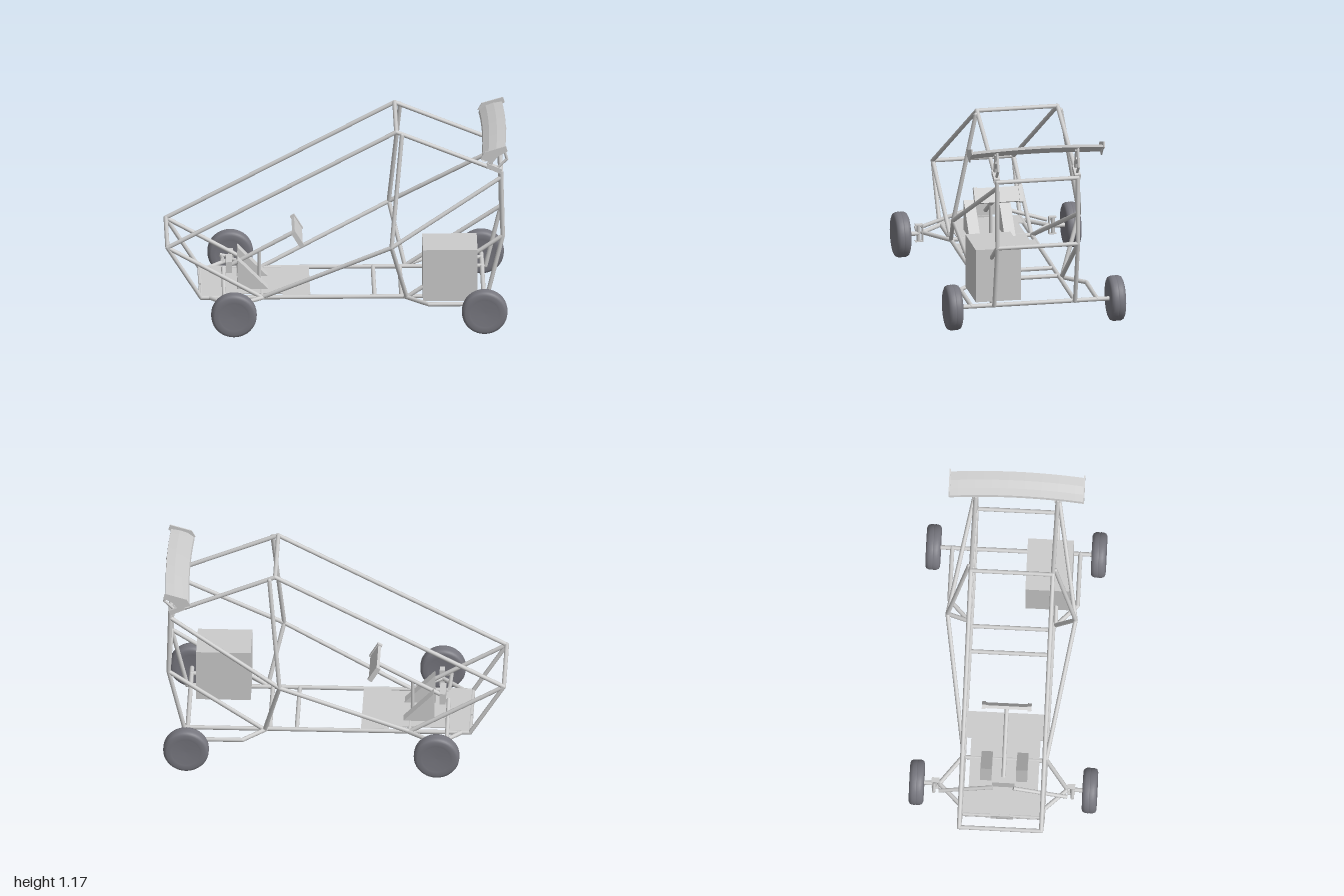
import * as THREE from 'three';

const mat = new THREE.MeshStandardMaterial({ color: 0xcccccc, side: THREE.DoubleSide });
const wheelMat = new THREE.MeshStandardMaterial({ color: 0x77777f });
const R = 0.0125, W = 0.237, Y = 0.138;

function add(group, name, geometry, x = 0, y = 0, z = 0, material = mat) {
  const mesh = new THREE.Mesh(geometry, material);
  mesh.name = name;
  mesh.position.set(x, y, z);
  group.add(mesh);
  return mesh;
}

// Round bar between two points
function bar(group, name, a, b, r = R) {
  const p = new THREE.Vector3(...a), q = new THREE.Vector3(...b);
  const d = q.clone().sub(p);
  const mesh = add(group, name, new THREE.CylinderGeometry(r, r, d.length(), 12));
  mesh.position.copy(p).add(q).multiplyScalar(0.5);
  mesh.quaternion.setFromUnitVectors(new THREE.Vector3(0, 1, 0), d.normalize());
  return mesh;
}

// Outline in the x-y plane, extruded along z about a centre
function plate(group, name, points, depth, z) {
  const shape = new THREE.Shape(points.map(p => new THREE.Vector2(...p)));
  return add(group, name, new THREE.ExtrudeGeometry(shape, { depth, bevelEnabled: false }), 0, 0, z - depth / 2);
}

function path(group, name, points, s, r = R) {
  const pts = points.map(([x, y, z]) => [x, y, z * s]);
  for (let i = 1; i < pts.length; i++) bar(group, name, pts[i - 1], pts[i], r);
  pts.forEach(p => add(group, name + 'Joint', new THREE.SphereGeometry(r, 12, 8), ...p));
}

function buildFrame() {
  const g = new THREE.Group();
  g.name = 'tubeFrame';
  const nose = [-0.975, 0.45, W], roof = [0.345, 1.155, W], rearTop = [0.95, 0.905, W];
  const rearMid = [0.96, 0.51, W], rearLow = [0.87, Y, W], frontLow = [-0.78, Y, W];
  const hip = [0.315, 0.49, 0.37], hipLow = [0.405, Y, 0.25], floorNode = [-0.43, Y, W];
  for (const s of [1, -1]) {
    path(g, 'outerLoop', [frontLow, nose, roof, rearTop, rearMid, rearLow, frontLow], s);
    path(g, 'noseBrace', [nose, floorNode], s);
    path(g, 'mainHoop', [[0.378, 1.14, 0.25], hip, hipLow], s);
    path(g, 'sideBrace', [floorNode, hip, [0.95, 0.87, W]], s);
    path(g, 'rearDiagonal', [hipLow, rearMid], s);
    path(g, 'sideGuard', [[0.39, Y, W], [0.53, Y, 0.37], [0.85, Y, 0.37]], s);
    path(g, 'frontArm', [[-0.73, Y, W], [-0.6, Y, 0.37], [-0.42, Y, W]], s);
  }
  // Cross members
  for (const [x, y] of [[-0.975, 0.45], [0.345, 1.155], [0.95, 0.905], [0.96, 0.51],
    [-0.78, Y], [-0.43, Y], [0.22, Y], [0.375, Y]])
    bar(g, 'crossMember', [x, y, -W], [x, y, W]);
  return g;
}

function buildWheel(x, z, s) {
  const g = new THREE.Group();
  g.name = 'wheel';
  // Tyre profile: slightly domed faces, rounded shoulders, shallow groove
  const half = [[0, 0.036], [0.08, 0.038], [0.084, 0.042], [0.112, 0.042], [0.125, 0.036], [0.131, 0.022], [0.132, 0.004], [0.130, 0.002]];
  const profile = [...half.map(([r, h]) => [r, -h]), ...half.slice().reverse()];
  const tyre = add(g, 'tyre', new THREE.LatheGeometry(profile.map(p => new THREE.Vector2(...p)), 40), 0, 0, 0, wheelMat);
  tyre.rotation.x = Math.PI / 2;
  g.position.set(x, 0.134, z * s);
  return g;
}

function buildSteering() {
  const g = new THREE.Group();
  g.name = 'steering';
  bar(g, 'steeringShaft', [-0.6, 0.25, 0], [-0.225, 0.457, 0]);
  bar(g, 'shaftSupport', [-0.44, Y, 0], [-0.44, 0.335, 0], 0.01);
  bar(g, 'floorSpine', [-0.78, Y, 0], [-0.43, Y, 0], 0.009);
  add(g, 'frontPlate', new THREE.BoxGeometry(0.012, 0.045, 0.13), -0.785, Y, 0);
  add(g, 'rack', new THREE.BoxGeometry(0.035, 0.068, 0.13), -0.615, 0.255, 0);
  // Flat handlebar wheel, tilted toward the driver
  const bars = new THREE.Group();
  bars.name = 'steeringWheel';
  add(bars, 'wheelPad', new THREE.BoxGeometry(0.018, 0.09, 0.25));
  for (const s of [1, -1]) add(bars, 'wheelGrip', new THREE.BoxGeometry(0.028, 0.1, 0.022), 0, 0, s * 0.132);
  bars.position.set(-0.222, 0.457, 0);
  bars.rotation.z = 0.54;
  g.add(bars);
  for (const s of [1, -1]) {
    bar(g, 'tieRod', [-0.65, 0.255, 0.06 * s], [-0.65, 0.155, 0.37 * s], 0.0115);
    bar(g, 'steeringArm', [-0.66, 0.155, 0.4 * s], [-0.6, 0.14, 0.4 * s], 0.01);
    // Upright: kingpin held in a C-bracket, with a stub axle
    bar(g, 'kingpin', [-0.597, 0.085, 0.395 * s], [-0.597, 0.19, 0.395 * s], 0.011);
    add(g, 'bracketWeb', new THREE.BoxGeometry(0.03, 0.1, 0.005), -0.597, Y, 0.372 * s);
    for (const y of [0.088, 0.187]) add(g, 'bracketEar', new THREE.BoxGeometry(0.03, 0.005, 0.045), -0.597, y, 0.392 * s);
    bar(g, 'stubAxle', [-0.597, 0.134, 0.395 * s], [-0.597, 0.134, 0.47 * s], 0.013);
  }
  return g;
}

function buildWing() {
  const g = new THREE.Group();
  g.name = 'rearWing';
  // Cambered section swept across the span with a slight arch
  const section = [[0.845, 1.045], [0.85, 1.062], [0.885, 1.088], [0.93, 1.104], [0.98, 1.112],
    [0.982, 1.104], [0.945, 1.084], [0.9, 1.058], [0.865, 1.04]];
  const n = section.length, steps = 16, pos = [], idx = [];
  for (let i = 0; i <= steps; i++) {
    const t = i / steps * 2 - 1;
    section.forEach(([x, y]) => pos.push(x - 0.012 * t * t, y - 0.016 * t * t, t * 0.385));
  }
  for (let i = 0; i < steps; i++)
    for (let j = 0; j < n; j++) {
      const a = i * n + j, b = i * n + (j + 1) % n;
      idx.push(a, a + n, b, b, a + n, b + n);
    }
  let geo = new THREE.BufferGeometry();
  geo.setAttribute('position', new THREE.Float32BufferAttribute(pos, 3));
  geo.setIndex(idx);
  geo = geo.toNonIndexed();
  geo.computeVertexNormals();
  add(g, 'wingBlade', geo);
  for (const s of [1, -1]) {
    plate(g, 'endPlate', [[0.828, 1.045], [0.85, 1.085], [0.975, 1.122], [0.984, 1.09], [0.93, 1.06], [0.895, 1.018]], 0.008, 0.388 * s);
    // Wing mounts: foot plate, front strut and bent rear strut
    const z = W * s;
    plate(g, 'mountFoot', [[0.865, 0.935], [0.875, 0.96], [0.955, 0.925], [0.95, 0.895]], 0.035, z);
    bar(g, 'frontStrut', [0.885, 0.94, z], [0.925, 1.065, z], 0.011);
    bar(g, 'frontStrutBrace', [0.87, 0.95, z], [0.94, 1.02, z], 0.009);
    bar(g, 'rearStrutLower', [0.93, 0.93, z], [0.985, 0.985, z], 0.008);
    bar(g, 'rearStrutUpper', [0.985, 0.98, z], [0.955, 1.085, z], 0.008);
  }
  return g;
}

export function createModel() {
  const model = new THREE.Group();
  model.name = 'buggy';
  model.add(buildFrame(), buildSteering(), buildWing());

  for (const s of [1, -1]) model.add(buildWheel(-0.597, 0.5, s), buildWheel(0.85, 0.478, s));
  bar(model, 'rearAxle', [0.85, 0.134, -0.45], [0.85, 0.134, 0.45], 0.013);

  // Floor pan, notched along both sides
  const half = [[-0.79, W], [-0.64, W], [-0.64, 0.2], [-0.31, 0.2], [-0.31, W], [-0.15, W]];
  const outline = [...half, ...half.slice().reverse().map(([x, z]) => [x, -z])];
  const floor = plate(model, 'floorPan', outline, 0.006, 0);
  floor.rotation.x = -Math.PI / 2;
  floor.position.set(0, 0.143, 0);

  // Wedge-shaped pedals
  for (const s of [1, -1])
    plate(model, 'pedal', [[-0.57, 0.148], [-0.39, 0.148], [-0.565, 0.328]], 0.065, 0.103 * s);

  add(model, 'engineBlock', new THREE.BoxGeometry(0.315, 0.315, 0.265), 0.655, 0.302, 0.202);
  return model;
}
